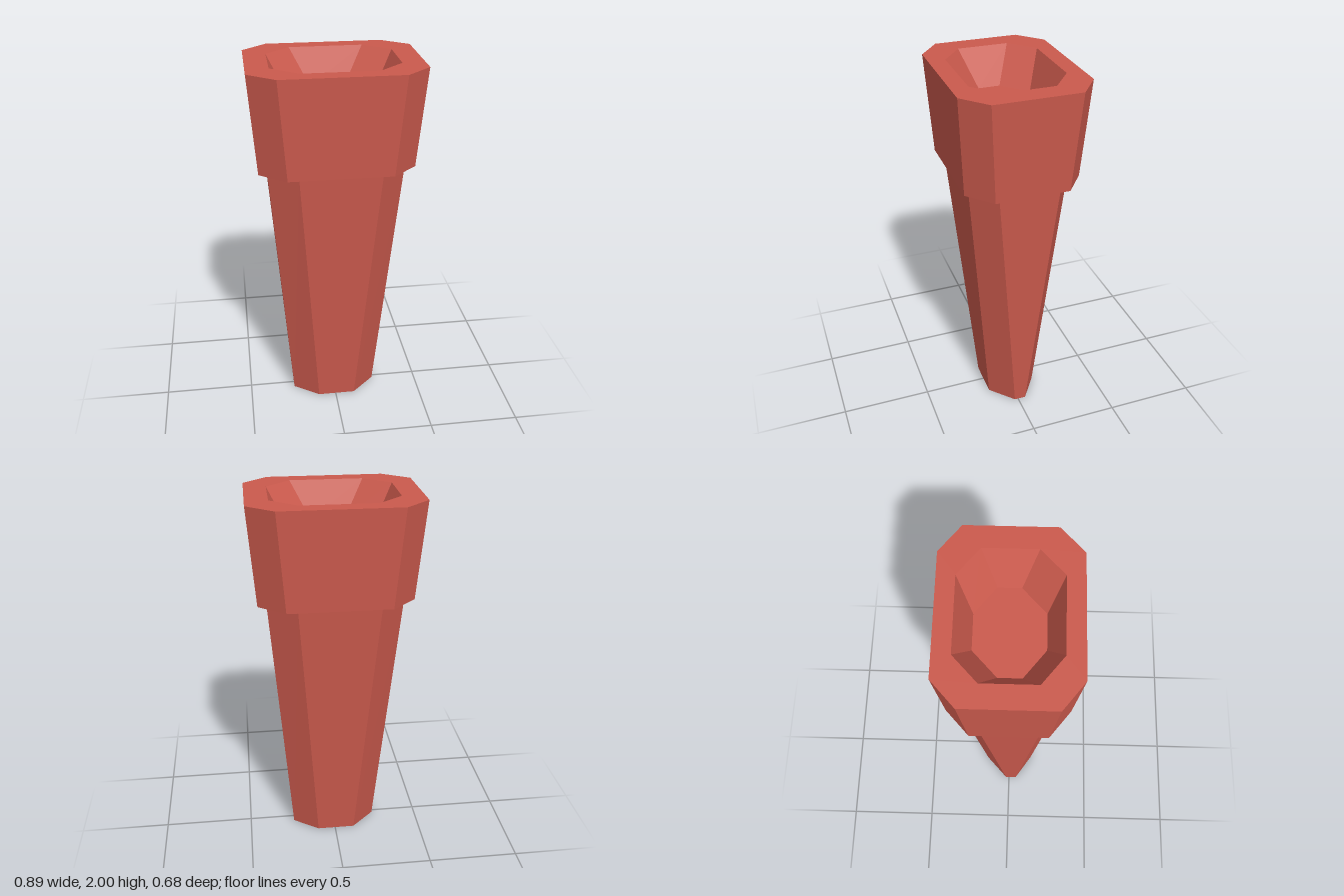
import * as THREE from 'three';

// Eight-sided outline with half-turn symmetry.
// w, d: half width and depth; zb, zf: back and front corners of the +x side;
// xr, xl: right and left corners of the +z side.
function ring(y, w, d, zb, zf, xr, xl) {
  const half = [[w, -zb], [w, zf], [xr, d], [-xl, d]];
  const all = [...half, ...half.map(([x, z]) => [-x, -z])];
  return all.map(([x, z]) => [x, y, z]);
}

// Flat-faced skin through successive rings, optionally capped at either end.
function loft(rings, capStart, capEnd) {
  const pos = [];
  const tri = (a, b, c) => pos.push(...a, ...b, ...c);
  for (let r = 0; r < rings.length - 1; r++) {
    const lo = rings[r], hi = rings[r + 1];
    for (let i = 0; i < lo.length; i++) {
      const j = (i + 1) % lo.length;
      tri(lo[i], hi[i], lo[j]);
      tri(lo[j], hi[i], hi[j]);
    }
  }
  const first = rings[0], last = rings[rings.length - 1];
  for (let i = 1; i < first.length - 1; i++) {
    if (capStart) tri(first[0], first[i], first[i + 1]);
    if (capEnd) tri(last[0], last[i + 1], last[i]);
  }
  const geo = new THREE.BufferGeometry();
  geo.setAttribute('position', new THREE.Float32BufferAttribute(pos, 3));
  geo.computeVertexNormals();
  return geo;
}

export function createModel() {
  const group = new THREE.Group();
  group.name = 'taperedPot';
  const clay = new THREE.MeshStandardMaterial({ color: 0xcb5a4d, flatShading: true });
  clay.name = 'terracotta';

  const add = (name, geo) => {
    const mesh = new THREE.Mesh(geo, clay);
    mesh.name = name;
    group.add(mesh);
  };

  const base = ring(0, 0.24, 0.141, 0.045, 0.02, 0.11, 0.1);
  const neck = ring(1.475, 0.358, 0.273, 0.17, 0.155, 0.225, 0.205);
  const collarLow = ring(1.475, 0.404, 0.308, 0.2, 0.19, 0.275, 0.265);
  const collarTop = ring(2, 0.445, 0.338, 0.23, 0.22, 0.315, 0.305);
  const mouth = ring(2, 0.328, 0.249, 0.14, 0.129, 0.199, 0.189);
  const floor = ring(1.81, 0.228, 0.173, 0.064, 0.052, 0.097, 0.088);

  // Long tapering body, closed below
  add('body', loft([base, neck], true, false));
  // Wider collar with its underside
  add('collar', loft([neck, collarLow, collarTop], false, false));
  // Flat rim around the opening
  add('rim', loft([collarTop, mouth], false, false));
  // Shallow faceted hollow with its floor
  add('hollow', loft([mouth, floor], false, true));

  return group;
}
